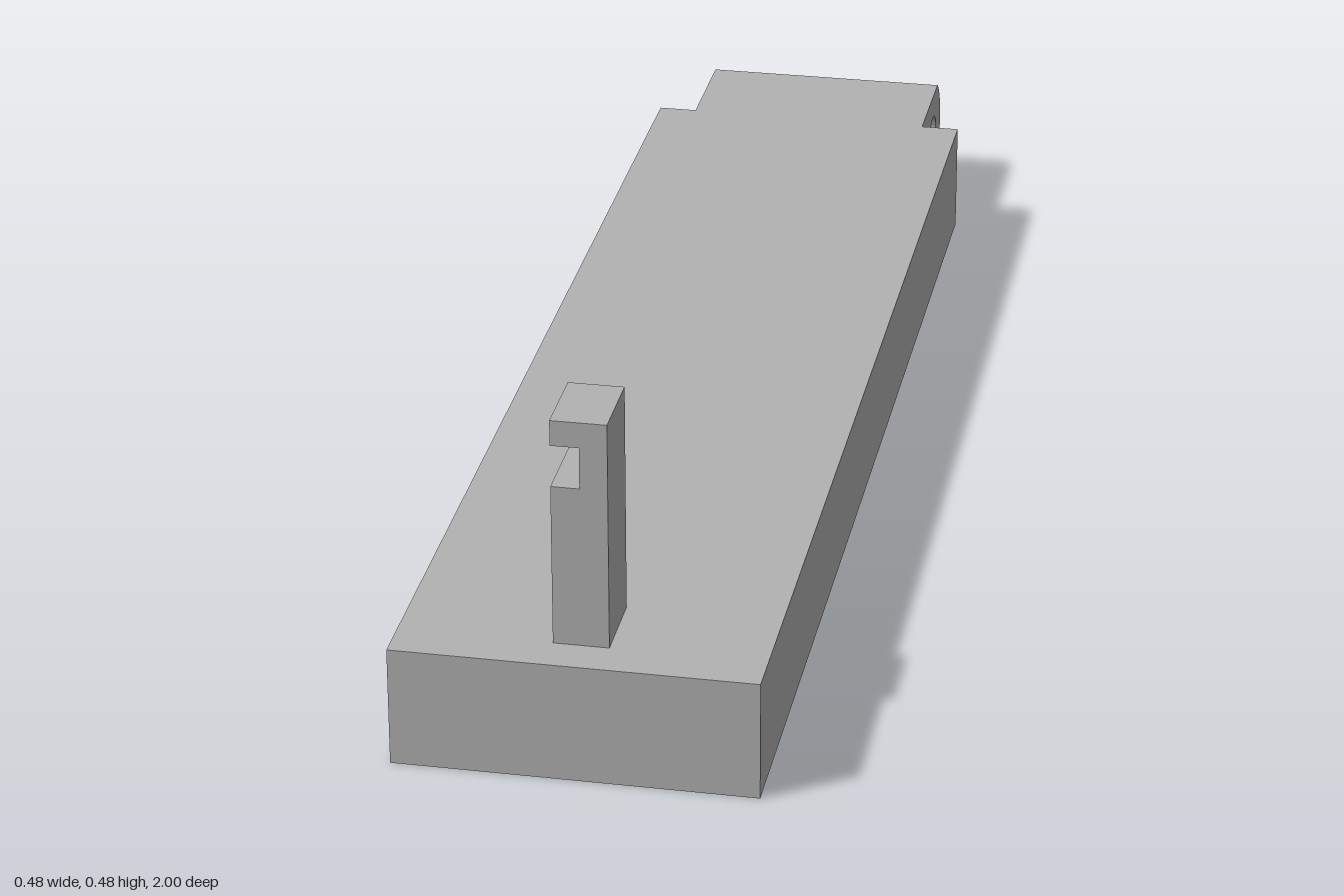
import * as THREE from 'three';
import { toCreasedNormals } from 'three/addons/utils/BufferGeometryUtils.js';

const H = 0.165;        // block height
const POCKET = 0.15;    // depth of the pocket under the block
const grey = new THREE.MeshStandardMaterial({ color: 0xb2b2b2 });
grey.name = 'plain grey';

function polygon(points) {
  return new THREE.Shape(points.map(([x, y]) => new THREE.Vector2(x, y)));
}

function drill(shape, x, y, r) {
  shape.holes.push(new THREE.Path().absarc(x, y, r, 0, Math.PI * 2, true));
  return shape;
}

function extrude(shape, depth) {
  return new THREE.ExtrudeGeometry(shape, { depth, bevelEnabled: false, curveSegments: 32 });
}

function part(name, geometry) {
  const mesh = new THREE.Mesh(toCreasedNormals(geometry, 0.5), grey);
  mesh.name = name;
  return mesh;
}

// Horizontal slab of the block, drawn in (x, -z) and raised from y0 to y1
function slab(name, y0, y1, hx, hz, r) {
  const shape = polygon([[-0.24, -1], [0.24, -1], [0.24, 0.788], [-0.24, 0.788]]);
  drill(shape, hx, -hz, r);
  return part(name, extrude(shape, y1 - y0).rotateX(-Math.PI / 2).translate(0, y0, 0));
}

export function createModel() {
  const model = new THREE.Group();
  model.name = 'hingedArm';

  // Block: wide round pocket below, small hole through the thin skin above
  model.add(slab('blockWithPocket', 0, POCKET, -0.073, 0.612, 0.124));
  model.add(slab('blockTopSkin', POCKET, H, -0.075, 0.585, 0.02));

  // Narrower hinge knuckle, drawn in (-z, y) and extruded across x
  const cz = 0.915, cy = 0.094, r = 0.085;
  const profile = new THREE.Shape();
  profile.moveTo(0.788, 0);
  profile.lineTo(cz, 0);
  profile.lineTo(cz, cy - r);
  profile.absarc(cz, cy, r, -Math.PI / 2, Math.asin((H - cy) / r), false);
  profile.lineTo(0.788, H);
  drill(profile, cz, cy, 0.034);
  model.add(part('hingeKnuckle', extrude(profile, 0.366).rotateY(Math.PI / 2).translate(-0.183, 0, 0)));

  // Upright post with a notch cut into its side near the top
  const post = polygon([
    [-0.037, H], [0.036, H], [0.036, 0.48], [-0.037, 0.48],
    [-0.037, 0.445], [0, 0.445], [0, 0.388], [-0.037, 0.388],
  ]);
  model.add(part('notchedPost', extrude(post, 0.109).translate(0, 0, 0.835)));

  return model;
}
